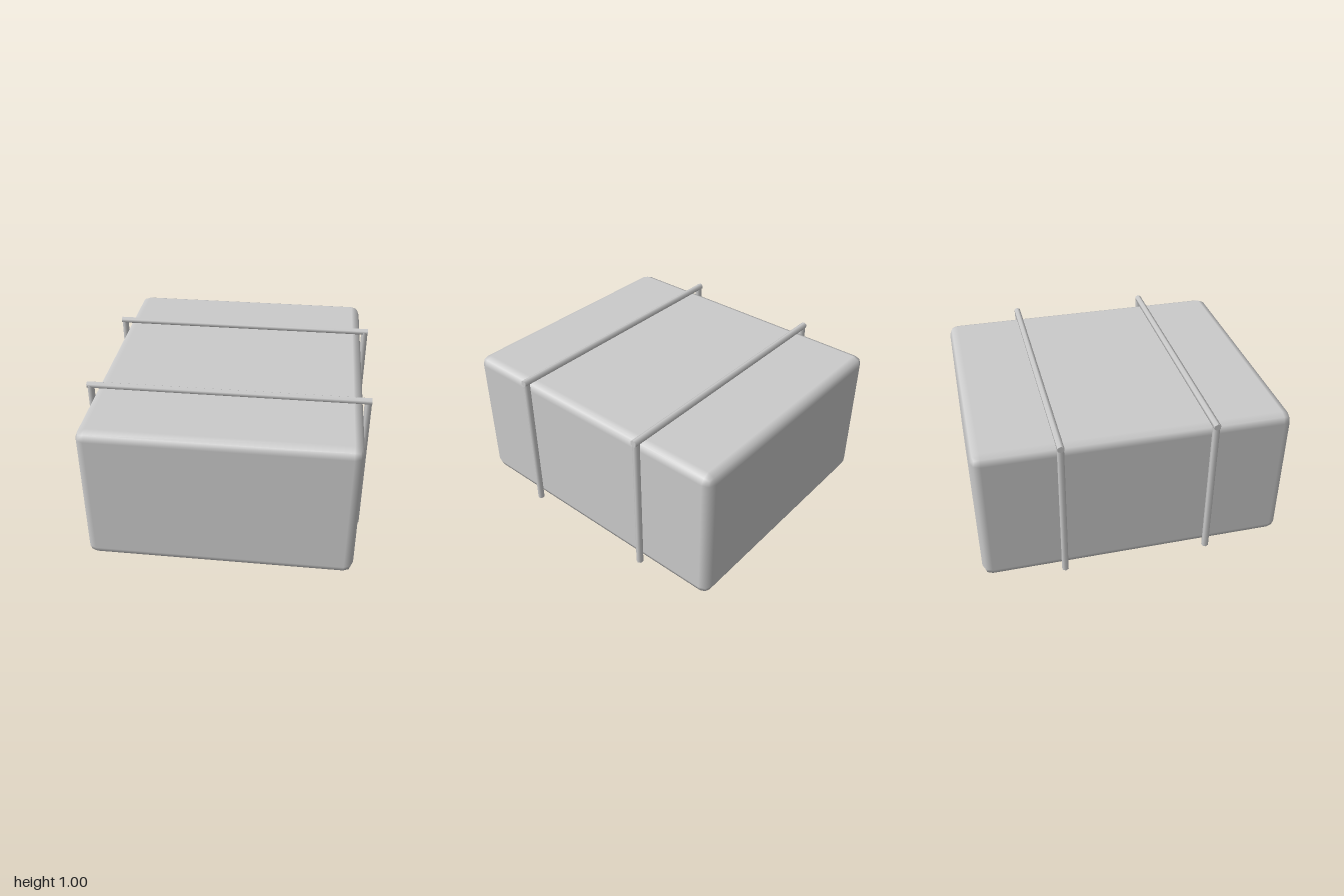
import * as THREE from 'three';
import { RoundedBoxGeometry } from 'three/addons/geometries/RoundedBoxGeometry.js';

export function createModel() {
  const model = new THREE.Group();
  const material = new THREE.MeshStandardMaterial({ color: 0xcccccc });

  const add = (name, geometry, parent, x, y, z) => {
    const mesh = new THREE.Mesh(geometry, material);
    mesh.name = name;
    mesh.position.set(x, y, z);
    parent.add(mesh);
  };

  // Block with softly rounded edges
  const bottom = 0.004, top = 0.953;
  add('block', new RoundedBoxGeometry(1.712, top - bottom, 2, 1, 0.06), model, 0, (top + bottom) / 2, 0);

  // Six-sided rods, turned so a corner faces sideways (posts) or up (crossbar)
  const radius = 0.023, railHeight = 0.978, halfWidth = 0.905;
  const rod = (length) => new THREE.CylinderGeometry(radius, radius, length, 6).rotateY(Math.PI / 2);

  // Two frames straddling the block
  for (const [name, z] of [['frontFrame', 0.477], ['backFrame', -0.477]]) {
    const frame = new THREE.Group();
    frame.name = name;
    frame.position.z = z;
    add('crossbar', rod(2 * halfWidth).rotateZ(Math.PI / 2), frame, 0, railHeight, 0);
    for (const [side, s] of [['left', 1], ['right', -1]]) {
      add(side + 'Post', rod(railHeight), frame, s * (halfWidth - radius), railHeight / 2, 0);
    }
    model.add(frame);
  }
  return model;
}
